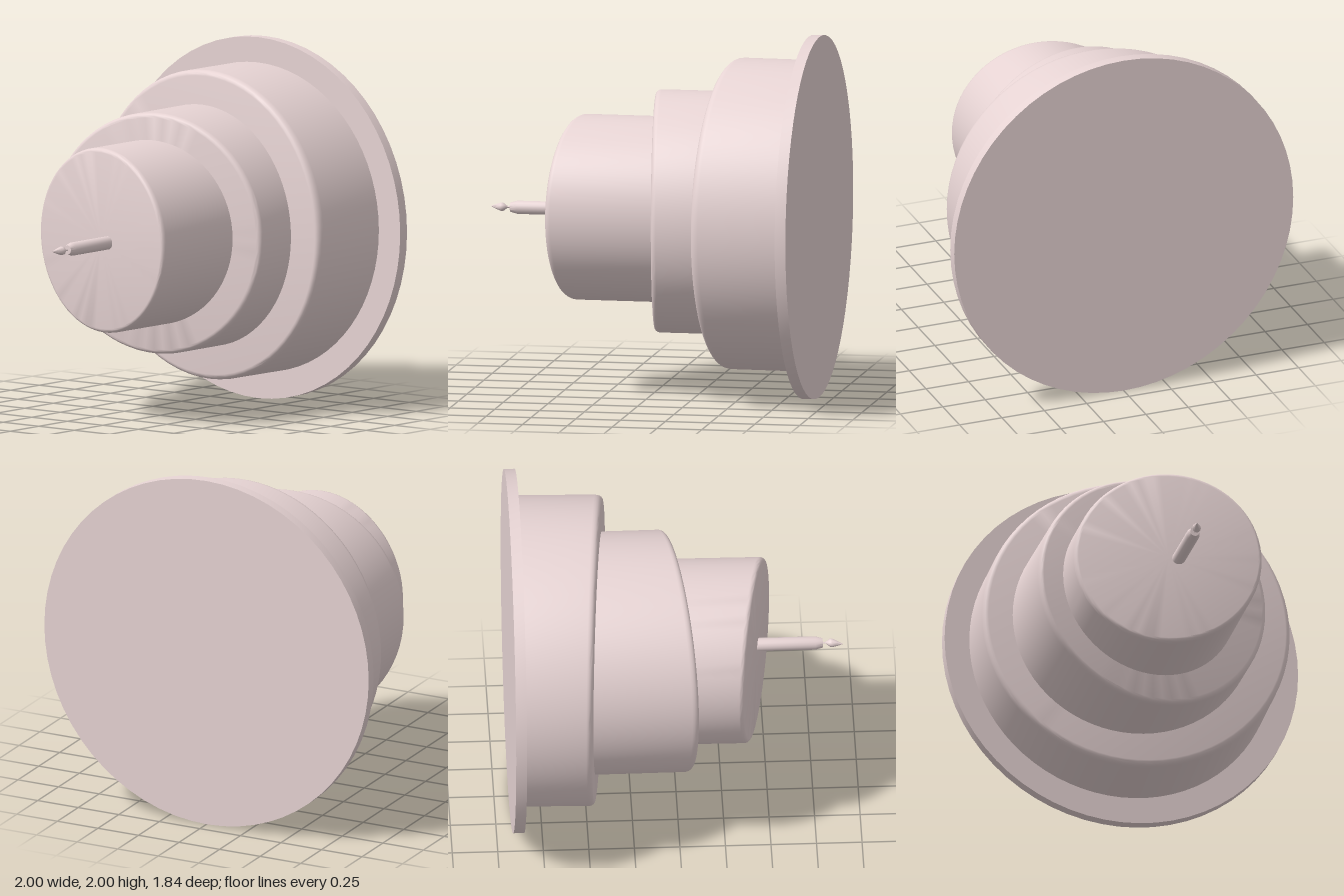
import * as THREE from 'three';
import { toCreasedNormals } from 'three/addons/utils/BufferGeometryUtils.js';

const material = new THREE.MeshStandardMaterial({ color: 0xe6d3d3 });

// Solid of revolution around z; profile is a list of [radius, z] from back to front
function lathe(profile, segments) {
  const points = profile.map(([r, z]) => new THREE.Vector2(r, z));
  return new THREE.LatheGeometry(points, segments).rotateX(Math.PI / 2);
}

function addPart(group, name, geometry, x, y, z, crease = 0.6) {
  const mesh = new THREE.Mesh(toCreasedNormals(geometry, crease), material);
  mesh.name = name;
  mesh.position.set(x, y, z);
  group.add(mesh);
}

// Drum with a rounded front rim, a sloping front face and slightly leaning sides
function tierGeometry({ radius, depth, slope, lean, rim }) {
  const profile = [[0, 0], [radius, 0]];
  for (let i = 0; i <= 5; i++) {
    const a = (i / 5) * Math.PI / 2;
    profile.push([radius - rim + rim * Math.cos(a), depth - rim * 1.3 * (1 - Math.sin(a))]);
  }
  profile.push([0, depth]);
  const geometry = lathe(profile, 72);
  const p = geometry.attributes.position;
  for (let i = 0; i < p.count; i++) {
    const x = p.getX(i), t = p.getZ(i) / depth;
    const z = t * (depth + slope * x);
    p.setXYZ(i, x + lean * z, p.getY(i), z);
  }
  return geometry;
}

export function createModel() {
  const model = new THREE.Group();
  model.name = 'tieredCake';

  // Round plate at the back
  addPart(model, 'plate', lathe([[0, -0.92], [1, -0.92], [1, -0.86], [0, -0.86]], 64), 0, 1, 0);

  // Three crooked tiers, largest first
  const tiers = [
    { name: 'lowerTier', x: -0.005, y: 1.005, z: -0.86, radius: 0.855, depth: 0.435, slope: 0.085, lean: -0.035, rim: 0.03 },
    { name: 'middleTier', x: -0.043, y: 1.003, z: -0.52, radius: 0.667, depth: 0.522, slope: -0.148, lean: 0.008, rim: 0.026 },
    { name: 'upperTier', x: -0.055, y: 1.01, z: -0.12, radius: 0.51, depth: 0.56, slope: 0.183, lean: -0.01, rim: 0.022 },
  ];
  for (const t of tiers) addPart(model, t.name, tierGeometry(t), t.x, t.y, t.z);

  // Candle with a tapered end, and its wick
  const candle = new THREE.Group();
  candle.name = 'candle';
  candle.position.set(-0.005, 1.005, 0);
  model.add(candle);
  addPart(candle, 'candleStick', lathe([[0, 0.4], [0.037, 0.4], [0.037, 0.765], [0.026, 0.805], [0, 0.805]], 16), 0, 0, 0, 0.5);
  addPart(candle, 'wick', lathe([[0, 0.8], [0.005, 0.8], [0.005, 0.84], [0, 0.84]], 8), 0, 0, 0);

  // Flame whose tip bends sideways
  const flame = lathe([[0, 0.815], [0.009, 0.826], [0.023, 0.845], [0.024, 0.857], [0.014, 0.885], [0, 0.918]], 12);
  const p = flame.attributes.position;
  for (let i = 0; i < p.count; i++) {
    const t = Math.max(0, (p.getZ(i) - 0.845) / 0.073);
    p.setX(i, p.getX(i) - 0.016 * t);
  }
  addPart(candle, 'flame', flame, 0, 0, 0, 0.9);

  return model;
}
